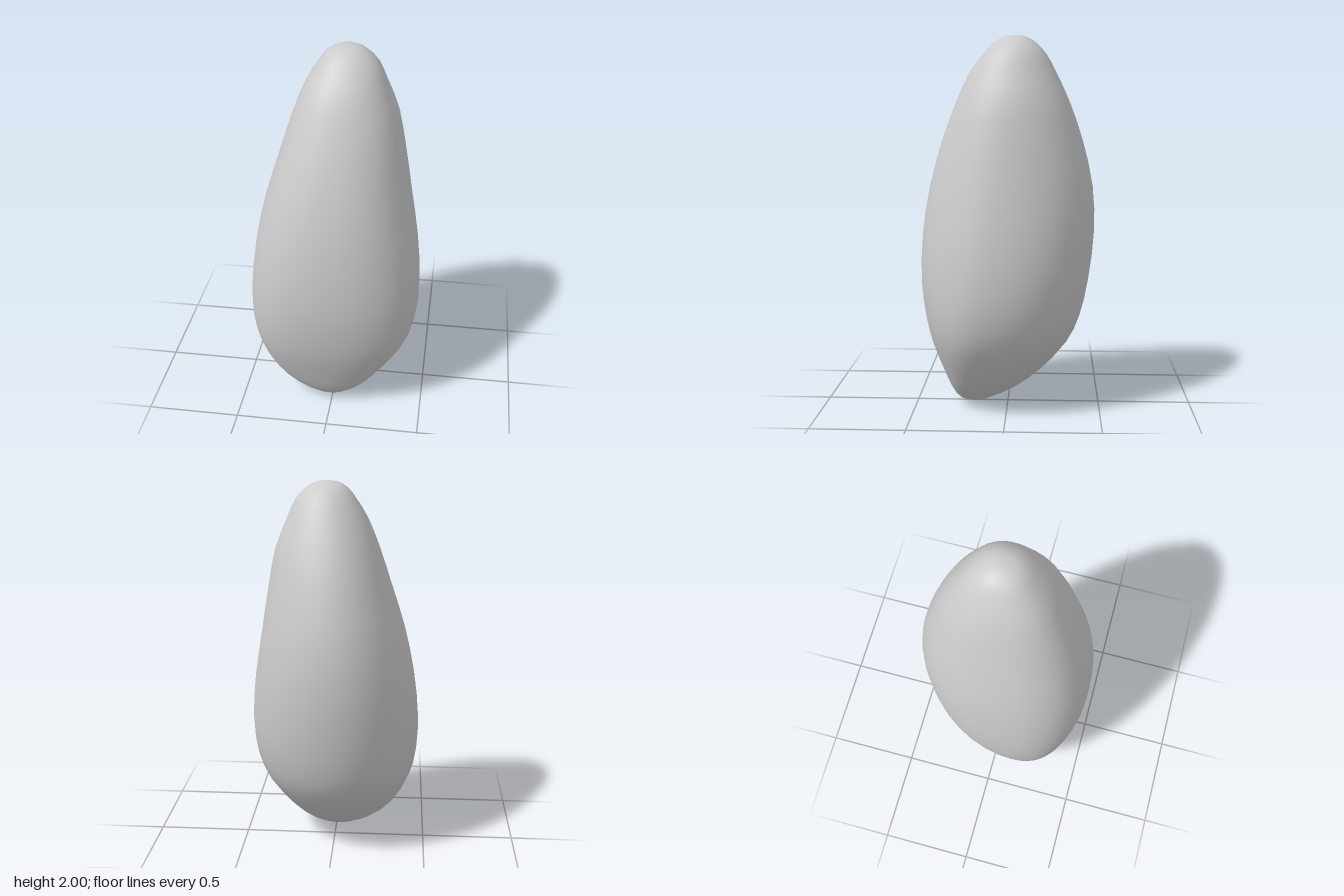
import * as THREE from 'three';

// Cross-sections from bottom to top: y, xMin, xMax, zMin, zMax, and the
// section's inner centre (cx, cz) where its four quarters meet.
const SECTIONS = [
  [0.00, -0.02, -0.02, 0.20, 0.20, -0.02, 0.20],
  [0.03, -0.11, 0.09, 0.08, 0.27, -0.02, 0.19],
  [0.10, -0.245, 0.19, -0.06, 0.315, -0.02, 0.18],
  [0.20, -0.345, 0.28, -0.19, 0.355, -0.02, 0.16],
  [0.35, -0.42, 0.385, -0.325, 0.41, -0.02, 0.14],
  [0.50, -0.453, 0.44, -0.395, 0.445, -0.02, 0.12],
  [0.70, -0.457, 0.457, -0.44, 0.47, -0.02, 0.09],
  [0.95, -0.43, 0.435, -0.467, 0.46, -0.02, 0.06],
  [1.20, -0.377, 0.393, -0.457, 0.42, -0.01, 0.03],
  [1.45, -0.30, 0.35, -0.40, 0.35, 0.00, 0.00],
  [1.65, -0.235, 0.31, -0.33, 0.275, 0.01, -0.02],
  [1.80, -0.175, 0.25, -0.26, 0.205, 0.02, -0.03],
  [1.90, -0.115, 0.205, -0.205, 0.13, 0.03, -0.04],
  [1.96, -0.07, 0.15, -0.15, 0.075, 0.035, -0.045],
  [1.99, -0.02, 0.10, -0.10, 0.02, 0.04, -0.05],
  [2.00, 0.04, 0.04, -0.05, -0.05, 0.04, -0.05],
];
const SIDES = 40;
const STEPS = 2; // rings per section span

// Squareness of each quarter of the outline (2 = ellipse)
function squareness(c, s) {
  if (s >= 0) return c >= 0 ? 2.2 : 2.4;
  return c >= 0 ? 2.1 : 2.0;
}

function pebbleGeometry() {
  const spline = new THREE.CubicInterpolant(SECTIONS.map((_, i) => i), SECTIONS.flat(), 7);
  const rings = (SECTIONS.length - 1) * STEPS;
  const positions = [];
  const index = [];

  // Bottom tip, rings, top tip
  for (let i = 0; i <= rings; i++) {
    const [y, x0, x1, z0, z1, cx, cz] = i === rings ? SECTIONS.at(-1) : spline.evaluate(i / STEPS);
    if (i === 0 || i === rings) {
      positions.push(cx, y, cz);
      continue;
    }
    for (let j = 0; j < SIDES; j++) {
      const a = (j / SIDES) * Math.PI * 2;
      const c = Math.cos(a), s = Math.sin(a);
      const n = squareness(c, s);
      const r = Math.pow(Math.abs(c) ** n + Math.abs(s) ** n, -1 / n);
      const hx = c >= 0 ? x1 - cx : cx - x0;
      const hz = s >= 0 ? z1 - cz : cz - z0;
      positions.push(cx + c * r * hx, y, cz + s * r * hz);
    }
  }

  const at = (ring, j) => 1 + (ring - 1) * SIDES + (j % SIDES);
  const top = positions.length / 3 - 1;
  for (let j = 0; j < SIDES; j++) {
    index.push(0, at(1, j), at(1, j + 1));
    for (let i = 1; i < rings - 1; i++) {
      const a = at(i, j), b = at(i, j + 1), c = at(i + 1, j), d = at(i + 1, j + 1);
      index.push(a, c, b, b, c, d);
    }
    index.push(at(rings - 1, j), top, at(rings - 1, j + 1));
  }

  const geometry = new THREE.BufferGeometry();
  geometry.setAttribute('position', new THREE.Float32BufferAttribute(positions, 3));
  geometry.setIndex(index);
  geometry.computeVertexNormals();
  return geometry;
}

export function createModel() {
  const model = new THREE.Group();
  model.name = 'pebble';
  const stone = new THREE.Mesh(pebbleGeometry(), new THREE.MeshStandardMaterial({ color: 0xcccccc }));
  stone.name = 'stone';
  model.add(stone);
  return model;
}
